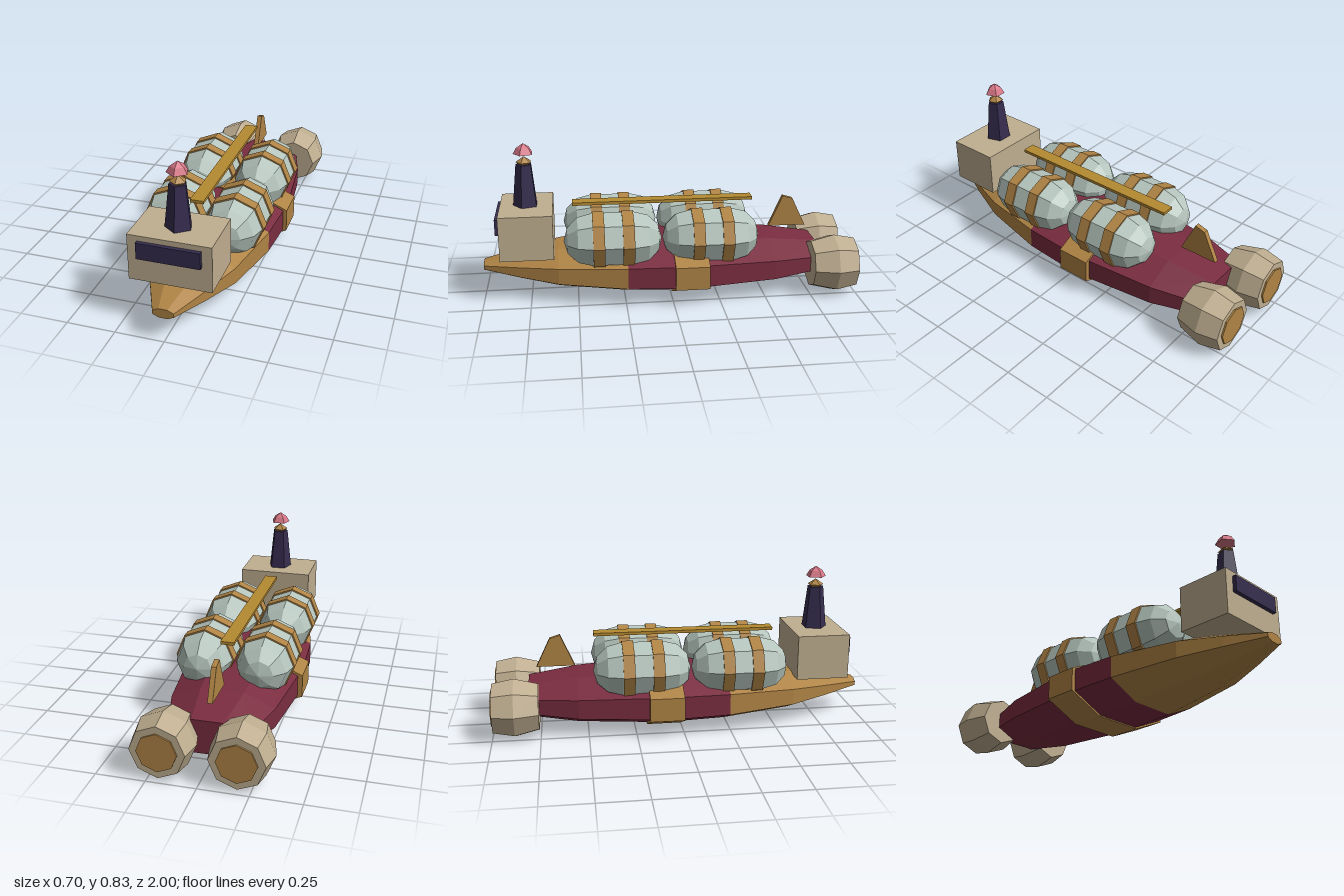
import * as THREE from 'three';

export function createModel() {
  const model = new THREE.Group();
  model.name = 'airship';

  const mat = (name, color) => {
    const m = new THREE.MeshStandardMaterial({ color, flatShading: true });
    m.name = name;
    return m;
  };
  const gold = mat('bronze', 0xb08445);
  const red = mat('maroon', 0x7a2d40);
  const tan = mat('tan', 0xbfae90);
  const navy = mat('navy', 0x352c4e);
  const pale = mat('pale green', 0xb6c6be);
  const brass = mat('brass', 0xb58a32);
  const pink = mat('pink', 0xd87686);

  const add = (name, geometry, material, x = 0, y = 0, z = 0) => {
    const mesh = new THREE.Mesh(geometry, material);
    mesh.name = name;
    mesh.position.set(x, y, z);
    model.add(mesh);
    return mesh;
  };
  const box = (name, material, w, h, d, x, y, z) =>
    add(name, new THREE.BoxGeometry(w, h, d), material, x, y, z);

  // Faceted solid turned about y from [radius, height] pairs, bottom first
  const turned = (pairs, sides, start = 0) =>
    new THREE.LatheGeometry(pairs.map(([r, h]) => new THREE.Vector2(r, h)), sides, start);

  // Hull section: flattened octagon lying along z, from [halfWidth, z] pairs
  const section = (pairs, ratio = 0.46) => {
    const k = 1 / Math.cos(Math.PI / 8);
    const g = turned(pairs.map(([w, z]) => [w * k, z]), 8, Math.PI / 8);
    g.rotateX(Math.PI / 2);
    g.scale(1, ratio, 1);
    return g;
  };

  // Hull
  const hullY = 0.16;
  add('noseCone', section([[0.298, 0.24], [0.225, 0.6], [0.14, 0.81], [0.053, 1], [0, 1]]), gold, 0, hullY);
  add('hull', section([[0, -0.81], [0.195, -0.81], [0.268, -0.55], [0.317, -0.1], [0.313, 0], [0.298, 0.24]]), red, 0, hullY);
  add('hullBelt', section([[0, -0.185], [0.333, -0.185], [0.333, -0.005], [0, -0.005]], 0.45), gold, 0, hullY);

  // Bridge cabin and window
  box('cabin', tan, 0.414, 0.24, 0.28, 0, 0.37, 0.76);
  box('cabinWindow', navy, 0.314, 0.085, 0.025, 0, 0.42, 0.908);

  // Mast with lantern and cap
  add('mast', turned([[0, 0.49], [0.069, 0.49], [0.044, 0.715], [0, 0.715]], 5), navy, 0, 0, 0.76);
  add('lantern', turned([[0, 0.713], [0.027, 0.713], [0.043, 0.727], [0, 0.757]], 5), gold, 0, 0, 0.76);
  add('mastCap', turned([[0, 0.771], [0.055, 0.771], [0.036, 0.803], [0, 0.827]], 5), pink, 0, 0, 0.76);

  // Gas tanks with two straps each
  for (const side of [-1, 1]) {
    for (const z of [0.31, -0.21]) {
      const tank = new THREE.CapsuleGeometry(0.148, 0.22, 3, 8);
      tank.rotateX(Math.PI / 2);
      add('tank', tank, pale, side * 0.16, 0.335, z);
      for (const dz of [-0.077, 0.077]) {
        const strap = new THREE.CylinderGeometry(0.156, 0.156, 0.06, 8);
        strap.rotateX(Math.PI / 2);
        add('tankStrap', strap, gold, side * 0.16, 0.335, z + dz);
      }
    }
  }

  // Top beam between the tanks
  box('topBeam', brass, 0.07, 0.016, 0.975, 0, 0.493, 0.03);

  // Tail fin
  const finShape = new THREE.Shape([
    [0.56, 0.32], [0.765, 0.32], [0.69, 0.475], [0.635, 0.491],
  ].map(([x, y]) => new THREE.Vector2(x, y)));
  const fin = new THREE.ExtrudeGeometry(finShape, { depth: 0.026, bevelEnabled: false });
  fin.translate(0, 0, -0.013);
  fin.rotateY(Math.PI / 2);
  add('tailFin', fin, gold);

  // Engines with exhaust discs
  for (const side of [-1, 1]) {
    const engine = turned([[0, -0.992], [0.137, -0.992], [0.159, -0.88], [0.127, -0.755], [0, -0.755]], 8);
    engine.rotateX(Math.PI / 2);
    add('engine', engine, tan, side * 0.19, 0.16);
    const exhaust = new THREE.CylinderGeometry(0.1, 0.1, 0.02, 8);
    exhaust.rotateX(Math.PI / 2);
    add('exhaust', exhaust, gold, side * 0.19, 0.16, -0.99);
  }

  return model;
}
